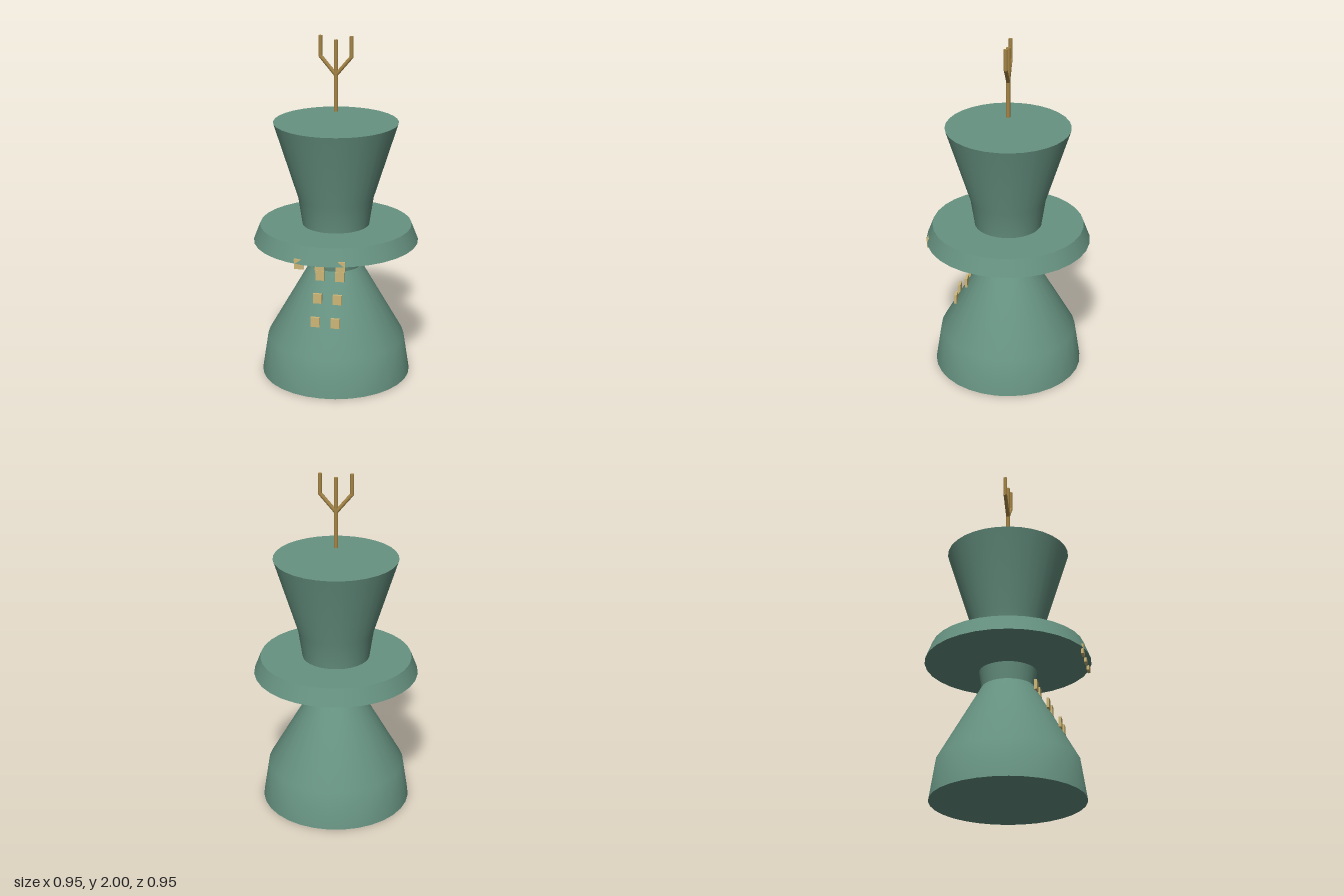
import * as THREE from 'three';

const green = new THREE.MeshStandardMaterial({ color: 0x679382 });
green.name = 'sage green';
const brass = new THREE.MeshStandardMaterial({ color: 0xa58546 });
brass.name = 'brass';
const glow = new THREE.MeshStandardMaterial({ color: 0xcdb777 });
glow.name = 'pale gold';

export function createModel() {
  const model = new THREE.Group();

  const add = (name, geometry, material, x = 0, y = 0, z = 0) => {
    const mesh = new THREE.Mesh(geometry, material);
    mesh.name = name;
    mesh.position.set(x, y, z);
    model.add(mesh);
    return mesh;
  };

  // Turned surfaces, one per smooth section so the edges between stay crisp
  const turned = (name, profile) =>
    add(name, new THREE.LatheGeometry(profile.map(([r, y]) => new THREE.Vector2(r, y)), 32), green);

  turned('baseUnderside', [[0, 0], [0.435, 0]]);
  turned('base', [[0.435, 0], [0.4, 0.225], [0.15, 0.665]]);
  turned('neck', [[0.15, 0.665], [0.165, 0.765]]);
  turned('deckUnderside', [[0.15, 0.762], [0.21, 0.762], [0.475, 0.815]]);
  turned('deckRim', [[0.475, 0.815], [0.437, 0.912]]);
  turned('deckTop', [[0.437, 0.912], [0, 0.912]]);
  turned('tower', [[0.193, 0.91], [0.217, 1.07], [0.355, 1.512]]);
  turned('towerTop', [[0.355, 1.512], [0, 1.512]]);

  // Forked mast hovering above the tower
  const rod = (name, a, b, radius) => {
    const from = new THREE.Vector3(...a), to = new THREE.Vector3(...b);
    const dir = to.clone().sub(from);
    const mid = from.clone().add(to).multiplyScalar(0.5);
    const mesh = add(name, new THREE.CylinderGeometry(radius, radius, dir.length(), 10), brass, ...mid.toArray());
    mesh.quaternion.setFromUnitVectors(new THREE.Vector3(0, 1, 0), dir.normalize());
  };
  rod('mastStem', [0, 1.572, 0], [0, 1.978, 0], 0.012);
  for (const [side, s] of [['left', 1], ['right', -1]]) {
    rod(side + 'MastBranch', [0, 1.78, 0], [s * 0.088, 1.885, 0], 0.011);
    rod(side + 'MastTip', [s * 0.088, 1.88, 0], [s * 0.088, 2, 0], 0.011);
  }

  // Small upright windows on the front of the base and along the deck rim
  const pane = new THREE.BoxGeometry(0.052, 0.058, 0.015);
  for (const [y, z] of [[0.412, 0.304], [0.53, 0.238], [0.645, 0.171]]) {
    for (const x of [-0.058, 0.058]) add('baseWindow', pane, glow, x, y, z);
  }
  for (const x of [-0.117, 0, 0.117]) add('deckWindow', pane, glow, x, 0.813, 0.445);

  return model;
}
